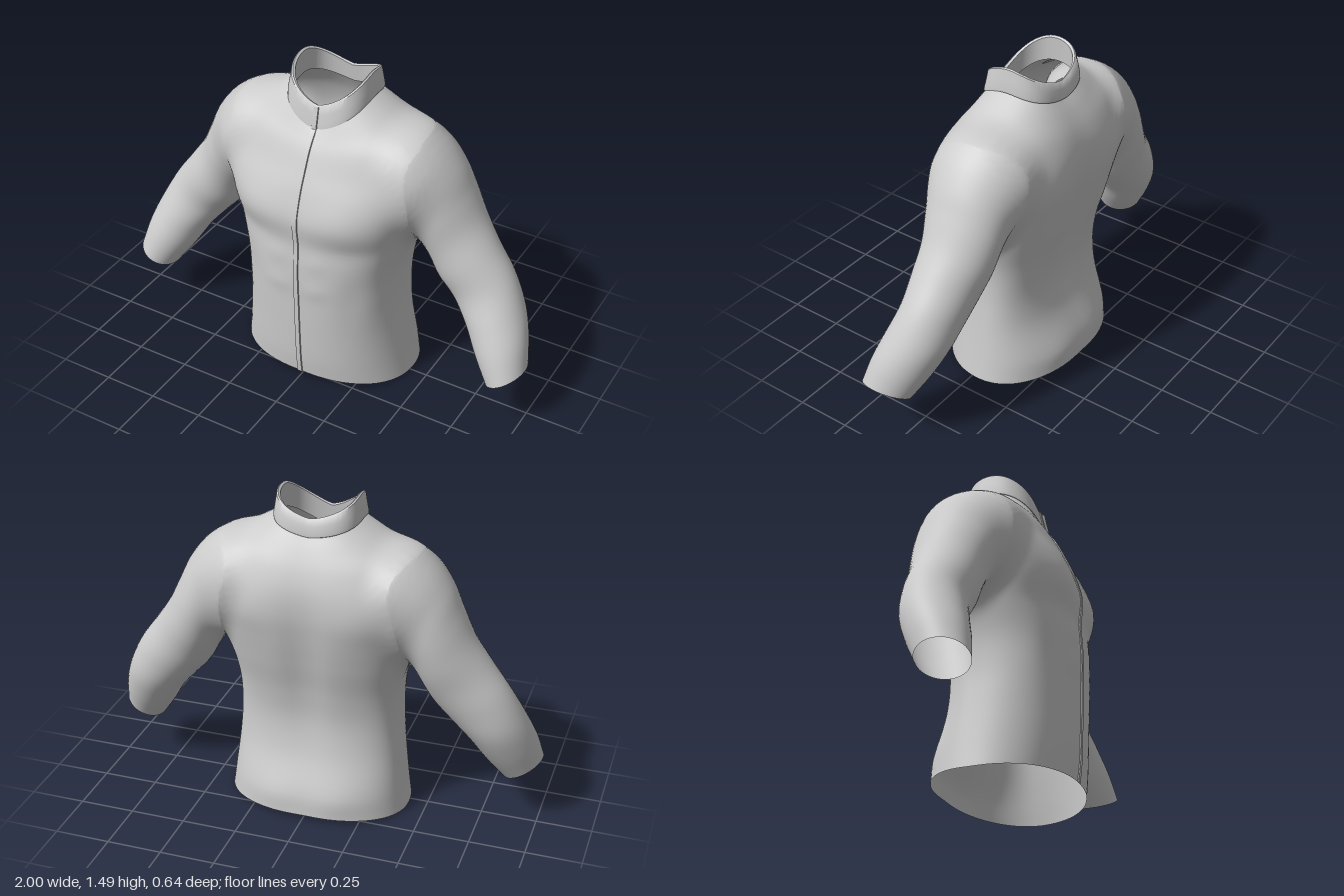
import * as THREE from 'three';
import { toCreasedNormals } from 'three/addons/utils/BufferGeometryUtils.js';

const V = (x, y, z) => new THREE.Vector3(x, y, z);
const SIDES = 96;

// Skin a list of cross-sections, smoothed lengthwise when steps is given.
function loft(rings, steps, closed = true) {
  const n = rings[0].length, pos = [], idx = [];
  const columns = rings[0].map((_, j) => {
    const pts = rings.map(r => r[j]);
    return steps ? new THREE.CatmullRomCurve3(pts).getPoints(steps) : pts;
  });
  const rows = columns[0].length;
  for (let i = 0; i < rows; i++) for (let j = 0; j < n; j++) pos.push(...columns[j][i].toArray());
  for (let i = 0; i < rows - 1; i++) for (let j = 0; j < (closed ? n : n - 1); j++) {
    const a = i * n + j, b = i * n + (j + 1) % n;
    idx.push(a, a + n, b, b, a + n, b + n);
  }
  const g = new THREE.BufferGeometry();
  g.setAttribute('position', new THREE.Float32BufferAttribute(pos, 3));
  g.setIndex(idx);
  g.computeVertexNormals();
  return g;
}

// Rounded body section: half width, front and back depth, heights at front, side and back.
function section([w, zF, zB, yF, yS = yF, yB = yF, n = 2.6], zc) {
  return Array.from({ length: SIDES }, (_, j) => {
    const a = j / SIDES * Math.PI * 2, c = Math.cos(a), s = Math.sin(a), e = 2 / n;
    const u = Math.abs(c) ** e;
    const z = zc + (s > 0 ? zF - zc : zB - zc) * Math.abs(s) ** e;
    const drop = Math.max(0, 1 - u ** 1.3) ** 0.65;
    return V(w * Math.sign(c) * u, yS + ((s > 0 ? yF : yB) - yS) * drop, z);
  });
}

// Muscle relief on the torso: [side, x, y, spread x, spread y, height]
const relief = [
  [1, 0.21, 0.92, 0.13, 0.1, 0.01], [1, 0.24, 0.76, 0.12, 0.05, -0.005],
  [1, 0.09, 0.68, 0.06, 0.04, 0.005], [1, 0.09, 0.53, 0.06, 0.04, 0.005],
  [1, 0.25, 0.5, 0.05, 0.14, -0.006], [1, 0, 0.92, 0.04, 0.12, -0.005],
  [-1, 0, 0.8, 0.085, 0.34, -0.024], [-1, 0.25, 1.02, 0.11, 0.13, 0.01],
  [-1, 0.15, 0.1, 0.1, 0.08, 0.006],
];
function addRelief(g) {
  const p = g.attributes.position;
  for (let i = 0; i < p.count; i++) {
    const x = Math.abs(p.getX(i)), y = p.getY(i), z = p.getZ(i);
    const side = Math.sign(z + 0.03), fade = Math.min(1, Math.abs(z + 0.03) / 0.15);
    let d = 0;
    for (const [s, cx, cy, sx, sy, h] of relief)
      if (s === side) d += h * Math.exp(-(((x - cx) / sx) ** 2) - ((y - cy) / sy) ** 2);
    p.setZ(i, z + side * d * fade);
  }
  g.computeVertexNormals();
}

// Distance from a point to a surface, and the surface normal there, by the nearest vertex.
function nearest(g, v) {
  const p = g.attributes.position;
  let best = Infinity, k = 0;
  for (let i = 0; i < p.count; i++) {
    const d = (p.getX(i) - v.x) ** 2 + (p.getY(i) - v.y) ** 2 + (p.getZ(i) - v.z) ** 2;
    if (d < best) { best = d; k = i; }
  }
  const normal = V().fromBufferAttribute(g.attributes.normal, k);
  const along = v.clone().sub(V().fromBufferAttribute(p, k)).dot(normal);
  const across = Math.max(0, Math.sqrt(Math.max(0, best - along * along)) - 0.02);
  return { distance: Math.hypot(along, across), normal };
}

// Swell a surface where it meets its neighbours and share their normals, giving a soft fillet.
function filleted(g, others, k = 0.11) {
  const out = g.clone(), p = g.attributes.position, q = out.attributes.position, blend = [];
  for (let i = 0; i < p.count; i++) {
    const v = V().fromBufferAttribute(p, i);
    const near = others.map(o => nearest(o, v)).sort((a, b) => a.distance - b.distance)[0];
    const h = Math.max(0, 1 - near.distance / k);
    v.addScaledVector(V().fromBufferAttribute(g.attributes.normal, i), h * h * k / 4);
    q.setXYZ(i, v.x, v.y, v.z);
    blend.push([near.normal, h * h * (1.5 - h)]);
  }
  out.computeVertexNormals();
  const nrm = out.attributes.normal;
  blend.forEach(([normal, w], i) => {
    const m = V().fromBufferAttribute(nrm, i).lerp(normal, w).normalize();
    nrm.setXYZ(i, m.x, m.y, m.z);
  });
  return out;
}

// Torso from hem to neckline
const torsoRings = [
  [0.418, 0.29, -0.32, 0.03, 0.002, 0.025, 2.2],
  [0.402, 0.3, -0.31, 0.12, 0.11, 0.12, 2.25],
  [0.378, 0.308, -0.245, 0.3, 0.3, 0.3, 2.4],
  [0.366, 0.312, -0.225, 0.45],
  [0.372, 0.316, -0.245, 0.6],
  [0.405, 0.31, -0.282, 0.75],
  [0.44, 0.322, -0.308, 0.88],
  [0.475, 0.29, -0.322, 1.0],
  [0.49, 0.245, -0.315, 1.1, 1.115, 1.11, 2.4],
  [0.425, 0.205, -0.285, 1.18, 1.243, 1.2, 2.4],
  [0.29, 0.17, -0.24, 1.23, 1.318, 1.28, 2.5],
  [0.18, 0.138, -0.195, 1.27, 1.385, 1.34, 2.8],
];

// Sleeve from cuff to shoulder: outer x, y, inner x, y, front z, back z
const sleeveRings = [
  [1.0, 0.3, 0.83, 0.2, 0.18, -0.05],
  [0.972, 0.42, 0.752, 0.31, 0.155, -0.115],
  [0.93, 0.53, 0.68, 0.425, 0.12, -0.165],
  [0.86, 0.665, 0.6, 0.52, 0.085, -0.19],
  [0.77, 0.79, 0.525, 0.605, 0.09, -0.21],
  [0.695, 0.9, 0.475, 0.695, 0.095, -0.235],
  [0.635, 1.02, 0.43, 0.785, 0.115, -0.25],
  [0.58, 1.13, 0.38, 0.85, 0.135, -0.255],
  [0.5, 1.212, 0.33, 0.92, 0.145, -0.258],
  [0.405, 1.243, 0.27, 1.0, 0.125, -0.242],
  [0.3, 1.23, 0.2, 1.05, 0.06, -0.16],
];
function sleeve(side) {
  const rings = sleeveRings.map(([ox, oy, ix, iy, f, b]) => {
    const ring = Array.from({ length: 48 }, (_, j) => {
      const a = j / 48 * Math.PI * 2, c = Math.cos(a) / 2;
      return V(side * ((ox + ix) / 2 + (ox - ix) * c), (oy + iy) / 2 + (oy - iy) * c,
        (f + b) / 2 + (f - b) / 2 * Math.sin(a));
    });
    return side > 0 ? ring : ring.reverse();
  });
  return loft(rings, 60);
}

// Collar: up the outside, over the rim and down the inside
const collarRings = [
  [0.18, 0.135, -0.195, 1.255, 1.378, 1.322],
  [0.193, 0.15, -0.207, 1.252, 1.385, 1.33],
  [0.193, 0.148, -0.207, 1.268, 1.4, 1.342],
  [0.186, 0.138, -0.2, 1.315, 1.445, 1.375],
  [0.18, 0.13, -0.19, 1.352, 1.487, 1.402],
  [0.174, 0.124, -0.184, 1.357, 1.492, 1.406],
  [0.165, 0.114, -0.176, 1.351, 1.485, 1.4],
  [0.168, 0.118, -0.18, 1.31, 1.44, 1.37],
  [0.172, 0.125, -0.186, 1.25, 1.375, 1.32],
];

// Front fastening: a narrow raised band run along a path in the centre plane
const bandProfile = [[0.013, 0], [0.011, 0.005], [-0.011, 0.005], [-0.013, 0]];
function zipper(path) {
  const rings = path.map((p, i) => {
    const t = path[Math.min(i + 1, path.length - 1)].clone().sub(path[Math.max(i - 1, 0)]).normalize();
    return bandProfile.map(([x, d]) => V(x, p.y - t.z * d, p.z + t.y * d));
  });
  return toCreasedNormals(loft(rings, 0, false), 0.5);
}

export function createModel() {
  const model = new THREE.Group();
  model.name = 'jacket';
  const fabric = new THREE.MeshStandardMaterial({ color: 0xcccccc, side: THREE.DoubleSide });
  fabric.name = 'grey fabric';
  const add = (name, geometry) => {
    const mesh = new THREE.Mesh(geometry, fabric);
    mesh.name = name;
    model.add(mesh);
  };

  const torso = loft(torsoRings.map(r => section(r, -0.03)), 66);
  addRelief(torso);
  const left = sleeve(1), right = sleeve(-1);
  add('torso', filleted(torso, [left, right]));
  add('leftSleeve', filleted(left, [torso]));
  add('rightSleeve', filleted(right, [torso]));

  const collar = collarRings.map(r => section([...r, 2.8], -0.045));
  add('collar', toCreasedNormals(loft(collar, 0), 0.7));

  // Centre front of the torso, then of the collar's outer face
  const path = [], p = torso.attributes.position;
  for (let i = SIDES / 4; i < p.count; i += SIDES) {
    const v = V().fromBufferAttribute(p, i);
    if (v.y < 1.24) path.push(v);
  }
  for (const ring of collar.slice(1, 5)) path.push(ring[SIDES / 4].clone());
  add('zipper', zipper(path));
  return model;
}
